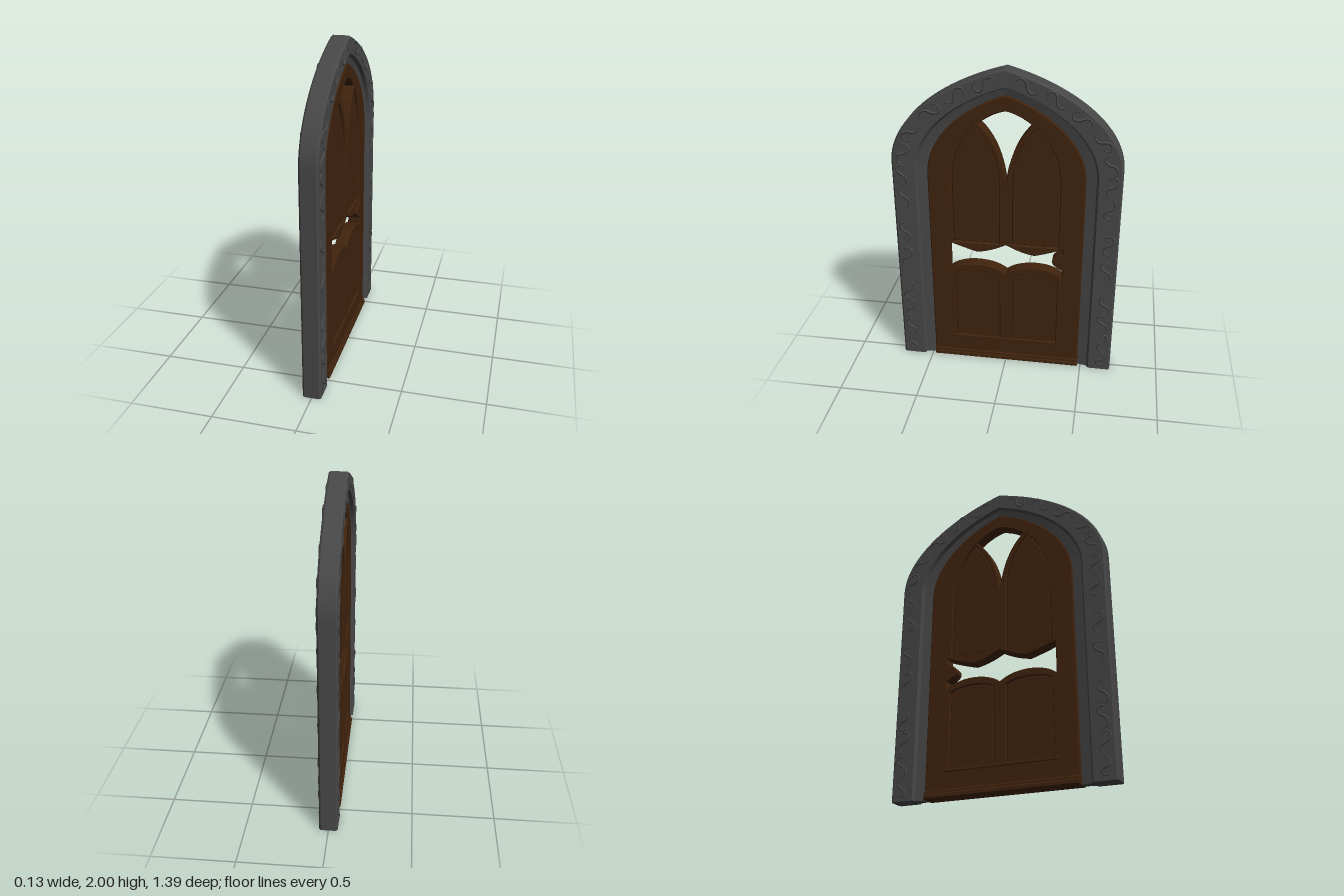
import * as THREE from 'three';
import { toCreasedNormals } from 'three/addons/utils/BufferGeometryUtils.js';

const stone = new THREE.MeshStandardMaterial({ color: 0x474747 });
stone.name = 'dark stone';
const wood = new THREE.MeshStandardMaterial({ color: 0x40230d });
wood.name = 'dark wood';

const V2 = (x, y) => new THREE.Vector2(x, y);

// Right half of a pointed arch: straight jamb, then a curve to the apex
function halfArch(hw, ys, ya) {
  const h = ya - ys;
  const path = new THREE.CurvePath();
  path.add(new THREE.LineCurve(V2(hw, 0), V2(hw, ys)));
  path.add(new THREE.CubicBezierCurve(V2(hw, ys), V2(hw, ys + 0.45 * h), V2(0.55 * hw, ys + 0.83 * h), V2(0, ya)));
  return path;
}

// Closed pointed-arch outline; k sets how full the shoulders are
function lancet(cx, hw, y0, ys, ya, k = 0.74, S = THREE.Path) {
  const h = ya - ys, p = new S();
  p.moveTo(cx - hw, y0);
  p.lineTo(cx + hw, y0);
  p.lineTo(cx + hw, ys);
  p.bezierCurveTo(cx + hw, ys + 0.45 * h, cx + 0.55 * hw, ys + k * h, cx, ya);
  p.bezierCurveTo(cx - 0.55 * hw, ys + k * h, cx - hw, ys + 0.45 * h, cx - hw, ys);
  p.closePath();
  return p;
}

// Panel outline with a low curved head
function panel(cx, hw, y0, ys, ya, S = THREE.Path) {
  const p = new S();
  p.moveTo(cx - hw, y0);
  p.lineTo(cx + hw, y0);
  p.lineTo(cx + hw, ys);
  p.bezierCurveTo(cx + 0.7 * hw, ya, cx - 0.7 * hw, ya, cx - hw, ys);
  p.closePath();
  return p;
}

function polygon(points) {
  return new THREE.Path(points.map(([x, y]) => V2(x, y)));
}

// Extrude a shape equally to both faces
function slab(name, shape, half, bevel, holes = []) {
  shape.holes.push(...holes);
  const geo = new THREE.ExtrudeGeometry(shape, {
    depth: 2 * (half - bevel), curveSegments: 14, bevelEnabled: bevel > 0,
    bevelThickness: bevel, bevelSize: bevel, bevelOffset: -bevel, bevelSegments: 1,
  });
  geo.translate(0, 0, -(half - bevel));
  const mesh = new THREE.Mesh(toCreasedNormals(geo, 0.5), wood);
  mesh.name = name;
  return mesh;
}

// Stone surround: one cross-section carried round the arch
function stoneSurround() {
  const sample = (path) => {
    const [line, arc] = path.curves;
    const right = [line.getPoint(0), ...arc.getPoints(28)];
    return [...right, ...right.slice(0, -1).reverse().map((p) => V2(-p.x, p.y))];
  };
  const outer = sample(halfArch(0.695, 1.4, 2)), inner = sample(halfArch(0.475, 1.33, 1.84));
  const profile = [[0, -0.045], [0, 0.045], [0.05, 0.056], [0.64, 0.056], [0.7, 0.035],
    [1, 0.022], [1, -0.022], [0.7, -0.035], [0.64, -0.056], [0.05, -0.056]];
  const n = profile.length, pos = [], idx = [];
  outer.forEach((o, i) => profile.forEach(([s, z]) => {
    const p = o.clone().lerp(inner[i], s);
    pos.push(p.x, p.y, z);
  }));
  for (let i = 0; i < outer.length - 1; i++) {
    for (let j = 0; j < n; j++) {
      const a = i * n + j, b = i * n + (j + 1) % n;
      idx.push(a, a + n, b, b, a + n, b + n);
    }
  }
  // feet
  const last = (outer.length - 1) * n;
  const foot = THREE.ShapeUtils.triangulateShape(profile.map(([s, z]) => V2(s, z)), []);
  for (const [a, b, c] of foot) {
    idx.push(a, b, c, last + a, last + c, last + b);
  }
  const geo = new THREE.BufferGeometry();
  geo.setAttribute('position', new THREE.Float32BufferAttribute(pos, 3));
  geo.setIndex(idx);
  // both feet face down
  const P = geo.attributes.position, ia = geo.index;
  for (let t = ia.count - foot.length * 6; t < ia.count; t += 3) {
    const [a, b, c] = [0, 1, 2].map((k) => new THREE.Vector3().fromBufferAttribute(P, ia.getX(t + k)));
    if (b.sub(a).cross(c.sub(a)).y > 0) {
      const q = ia.getX(t + 1);
      ia.setX(t + 1, ia.getX(t + 2));
      ia.setX(t + 2, q);
    }
  }
  const mesh = new THREE.Mesh(toCreasedNormals(geo, 0.4), stone);
  mesh.name = 'stoneSurround';
  return mesh;
}

// Tapered tube for carved scrolls
function scrollGeometry(points) {
  const seg = 22, rad = 6, curve = new THREE.CatmullRomCurve3(points);
  const geo = new THREE.TubeGeometry(curve, seg, 0.009, rad);
  const P = geo.attributes.position, v = new THREE.Vector3();
  for (let i = 0; i <= seg; i++) {
    const c = curve.getPointAt(i / seg), k = 0.25 + 0.75 * Math.sin(Math.PI * i / seg);
    for (let j = 0; j <= rad; j++) {
      const m = i * (rad + 1) + j;
      v.fromBufferAttribute(P, m).sub(c).multiplyScalar(k).add(c);
      P.setXYZ(m, v.x, v.y, v.z);
    }
  }
  geo.computeVertexNormals();
  return geo;
}

function stoneScrolls() {
  const group = new THREE.Group();
  group.name = 'carvedScrolls';
  const path = halfArch(0.632, 1.39, 1.953);
  const hook = [[-0.075, -0.02], [-0.045, 0.025], [-0.01, 0.02], [0.015, -0.02], [0.045, -0.035],
    [0.068, -0.01], [0.055, 0.02], [0.035, 0.01]];
  const spots = [0.035, 0.09, 0.155, 0.22, 0.325, 0.405, 0.515, 0.575, 0.635, 0.705, 0.78, 0.86, 0.945];
  spots.forEach((f, i) => {
    const p = path.getPointAt(f), t = path.getTangentAt(f);
    const flip = i % 2 ? -1 : 1, size = i === 0 ? 0.75 : 1;
    for (const side of [-1, 1]) for (const face of [-1, 1]) {
      const pts = hook.map(([a, b]) => {
        const along = a * size * (i % 3 ? 1 : -1), across = b * size * flip;
        return new THREE.Vector3(side * (p.x + t.x * along + t.y * across), p.y + t.y * along - t.x * across, face * 0.054);
      });
      const mesh = new THREE.Mesh(scrollGeometry(pts), stone);
      mesh.name = 'scroll';
      group.add(mesh);
    }
  });
  return group;
}

// Opening between the window heads
function spandrelHole() {
  const p = new THREE.Path();
  p.moveTo(0, 1.3);
  p.quadraticCurveTo(0.03, 1.55, 0.16, 1.67);
  p.quadraticCurveTo(0.08, 1.735, 0, 1.75);
  p.quadraticCurveTo(-0.08, 1.735, -0.16, 1.67);
  p.quadraticCurveTo(-0.03, 1.55, 0, 1.3);
  return p;
}

// Wide opening across the middle, with a latch lobe on one side
function middleHole() {
  const p = new THREE.Path();
  p.moveTo(-0.36, 0.67);
  p.bezierCurveTo(-0.28, 0.742, -0.09, 0.742, 0, 0.67);
  p.bezierCurveTo(0.09, 0.742, 0.28, 0.742, 0.355, 0.67);
  p.lineTo(0.355, 0.72);
  p.bezierCurveTo(0.27, 0.765, 0.27, 0.795, 0.355, 0.845);
  p.lineTo(0.355, 0.87);
  p.quadraticCurveTo(0.25, 0.83, 0.18, 0.812);
  p.quadraticCurveTo(0.09, 0.825, 0, 0.875);
  p.quadraticCurveTo(-0.09, 0.825, -0.18, 0.812);
  p.quadraticCurveTo(-0.25, 0.83, -0.36, 0.87);
  return p;
}

// Pair of lights, the eye above them and the small piercings below
function traceryHoles(cx) {
  const holes = [];
  for (const s of [-1, 1]) {
    const c = cx + s * 0.053, p = new THREE.Path();
    p.moveTo(c, 0.915);
    p.quadraticCurveTo(c + 0.036, 0.92, c + 0.036, 0.95);
    p.lineTo(c + 0.034, 1.2);
    p.quadraticCurveTo(c + 0.032, 1.33, c + s * 0.01, 1.4);
    p.quadraticCurveTo(c - 0.032, 1.33, c - 0.034, 1.2);
    p.lineTo(c - 0.036, 0.95);
    p.quadraticCurveTo(c - 0.036, 0.92, c, 0.915);
    holes.push(p, polygon([[cx + s * 0.085, 0.895], [cx + s * 0.06, 0.895], [cx + s * 0.087, 0.915]]));
  }
  const eye = new THREE.Path();
  eye.moveTo(cx, 1.26);
  eye.quadraticCurveTo(cx + 0.015, 1.36, cx + 0.052, 1.44);
  eye.quadraticCurveTo(cx + 0.03, 1.5, cx, 1.525);
  eye.quadraticCurveTo(cx - 0.03, 1.5, cx - 0.052, 1.44);
  eye.quadraticCurveTo(cx - 0.015, 1.36, cx, 1.26);
  holes.push(eye, polygon([[cx - 0.025, 0.895], [cx + 0.025, 0.895], [cx, 0.92]]));
  return holes;
}

export function createModel() {
  const model = new THREE.Group();
  model.name = 'archedDoorway';
  const door = new THREE.Group();
  door.name = 'door';
  door.rotation.y = Math.PI / 2;
  model.add(door);
  door.add(stoneSurround(), stoneScrolls());

  // Main door leaf
  const holes = [spandrelHole(), middleHole()];
  for (const cx of [-0.187, 0.183]) {
    holes.push(lancet(cx, 0.145, 0.88, 1.3, 1.66), panel(cx, 0.145, 0.165, 0.64, 0.685));
  }
  door.add(slab('doorLeaf', lancet(0, 0.48, 0, 1.33, 1.845, 0.83, THREE.Shape), 0.04, 0.006, holes));

  for (const cx of [-0.187, 0.183]) {
    // Stepped window mouldings and tracery
    door.add(slab('windowMoulding', lancet(cx, 0.147, 0.878, 1.3, 1.663, 0.74, THREE.Shape), 0.03, 0.008,
      [lancet(cx, 0.118, 0.885, 1.3, 1.595)]));
    door.add(slab('windowInnerMoulding', lancet(cx, 0.12, 0.882, 1.3, 1.6, 0.74, THREE.Shape), 0.022, 0.006,
      [lancet(cx, 0.094, 0.89, 1.3, 1.535)]));
    door.add(slab('windowTracery', lancet(cx, 0.096, 0.885, 1.3, 1.54, 0.74, THREE.Shape), 0.014, 0, traceryHoles(cx)));
    // Lower panel frames
    door.add(slab('panelMoulding', panel(cx, 0.147, 0.16, 0.64, 0.687, THREE.Shape), 0.03, 0.006,
      [panel(cx, 0.127, 0.166, 0.635, 0.67)]));
    door.add(slab('panelInnerMoulding', panel(cx, 0.129, 0.16, 0.635, 0.672, THREE.Shape), 0.02, 0.006,
      [panel(cx, 0.11, 0.17, 0.63, 0.655)]));
  }

  // Stepped base rail
  for (const [name, top, half] of [['baseRail', 0.05, 0.048], ['baseFoot', 0.03, 0.055]]) {
    const shape = new THREE.Shape([V2(-0.48, 0), V2(0.48, 0), V2(0.48, top), V2(-0.48, top)]);
    door.add(slab(name, shape, half, 0.006));
  }
  const sill = new THREE.Shape([V2(-0.36, 0.15), V2(0.36, 0.15), V2(0.36, 0.168), V2(-0.36, 0.168)]);
  door.add(slab('panelSill', sill, 0.044, 0.004));
  return model;
}
